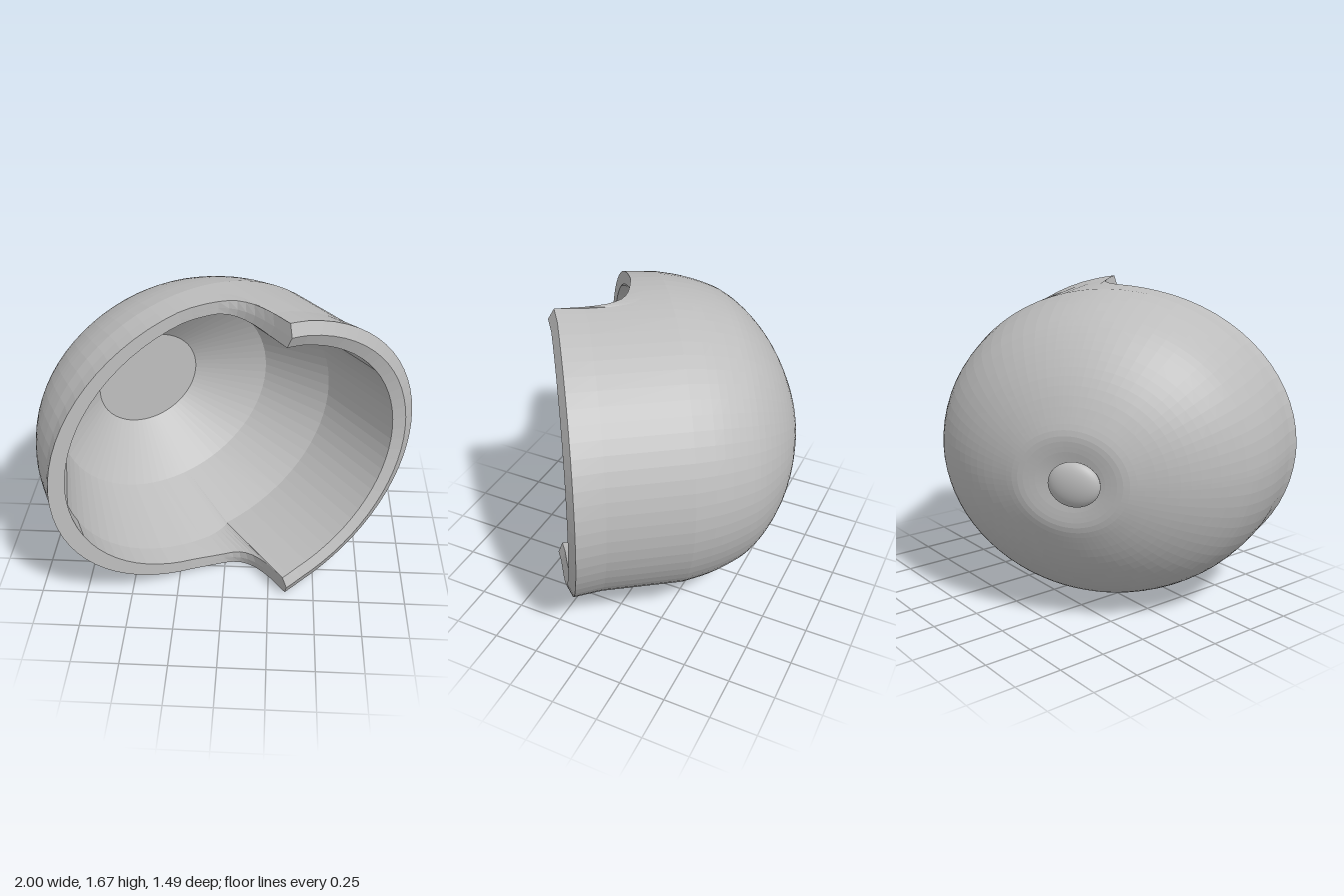
import * as THREE from 'three';

// Columns round the bowl: [angle in degrees, depth of the rim, blend (1 = long side)]
function makeColumns() {
  const half = [];
  for (let a = 0; a <= 77; a += 5) half.push([a, 0.54, 1]);
  half.push([79, 0.545, 1], [81.6, 0.548, 1], [81.8, 0.41, 0.9], [82.3, 0.345, 0.75], [83.1, 0.285, 0.6],
    [84.3, 0.24, 0.45], [85.8, 0.205, 0.3], [87.8, 0.18, 0.15], [90.5, 0.16, 0], [94, 0.145, 0], [98.5, 0.13, 0]);
  for (let a = 102.5; a < 179; a += 5) half.push([a, 0.122, 0]);
  const mirrored = half.slice(1).reverse().map(([a, n, s]) => [360 - a, n, s]);
  return [...half, [180, 0.122, 0], ...mirrored];
}

// Skin between rings; a ring is a function (rimDepth, blend) => [radius, depth, vertical stretch]
function loft(rings, columns) {
  const pos = [], index = [], m = columns.length;
  for (const ring of rings) {
    for (const [deg, rim, blend] of columns) {
      const [r, z, stretch = 1] = ring(rim, blend), a = THREE.MathUtils.degToRad(deg);
      pos.push(r * Math.cos(a), r * stretch * Math.sin(a), z);
    }
  }
  for (let i = 0; i < rings.length - 1; i++) {
    for (let j = 0; j < m; j++) {
      const a = i * m + j, b = i * m + (j + 1) % m;
      index.push(a, b, a + m, b, b + m, a + m);
    }
  }
  const indexed = new THREE.BufferGeometry();
  indexed.setAttribute('position', new THREE.Float32BufferAttribute(pos, 3));
  indexed.setIndex(index);
  const geo = indexed.toNonIndexed(); // faceted normals
  geo.computeVertexNormals();
  return geo;
}

export function createModel() {
  const model = new THREE.Group();
  model.name = 'steppedBowl';
  const grey = new THREE.MeshStandardMaterial({ color: 0xbcbcbc });
  grey.name = 'grey';
  const columns = makeColumns();
  const fixed = (r, z, stretch) => () => [r, z, stretch];
  const lerp = THREE.MathUtils.lerp;

  const body = new THREE.Group();
  body.name = 'body';
  const add = (name, geo) => {
    const mesh = new THREE.Mesh(geo, grey);
    mesh.name = name;
    body.add(mesh);
    return mesh;
  };

  // Dome profile, slightly dished at the back and rounder towards the rim
  const dome = new THREE.CatmullRomCurve3([
    [0, -0.715], [0.1, -0.718], [0.19, -0.729], [0.27, -0.73], [0.36, -0.703], [0.5, -0.645],
    [0.62, -0.575], [0.73, -0.487], [0.815, -0.39], [0.866, -0.29], [0.905, -0.18], [0.935, -0.04],
  ].map(([r, z]) => new THREE.Vector3(r, z, 0)));
  const domeRings = dome.getPoints(30).map((p) => fixed(Math.max(p.x, 0), p.y, 1 + 0.032 * p.x));

  // Rim rings follow the stepped edge
  const flare = (n, s) => [0.948, n - lerp(0.08, 0.15, s), 1.015];
  const outerEdge = (n, s) => [0.974, n, lerp(0.987, 1, s)];
  const ridge = (n, s) => [lerp(0.93, 0.903, s), n + 0.03 * s, lerp(0.99, 1, s)];
  const innerEdge = (n, s) => [lerp(0.885, 0.834, s), n + 0.005 * s];
  const innerBend = (n, s) => [lerp(0.86, 0.835, s), lerp(0, -0.02, s)];
  const innerStep = fixed(0.67, -0.43);
  const floorEdge = fixed(0.32, -0.675);

  add('outerShell', loft([...domeRings, flare, outerEdge], columns));
  add('rim', loft([outerEdge, ridge, innerEdge], columns));
  add('innerLining', loft([innerEdge, innerBend, innerStep, floorEdge], columns));
  add('innerFloor', loft([floorEdge, fixed(0, -0.675)], columns));

  // Button on the back of the dome
  const button = add('backButton', new THREE.SphereGeometry(1, 32, 20));
  button.scale.set(0.13, 0.13, 0.05);
  button.position.set(-0.03, 0, -0.75);

  // Oval section, turned to one side and tipped slightly
  body.scale.set(1, 0.857, 1);
  body.rotation.order = 'YXZ';
  body.rotation.set(-0.03, THREE.MathUtils.degToRad(35), 0);
  body.position.set(-0.102, 0.824, 0.072);
  model.add(body);
  return model;
}
